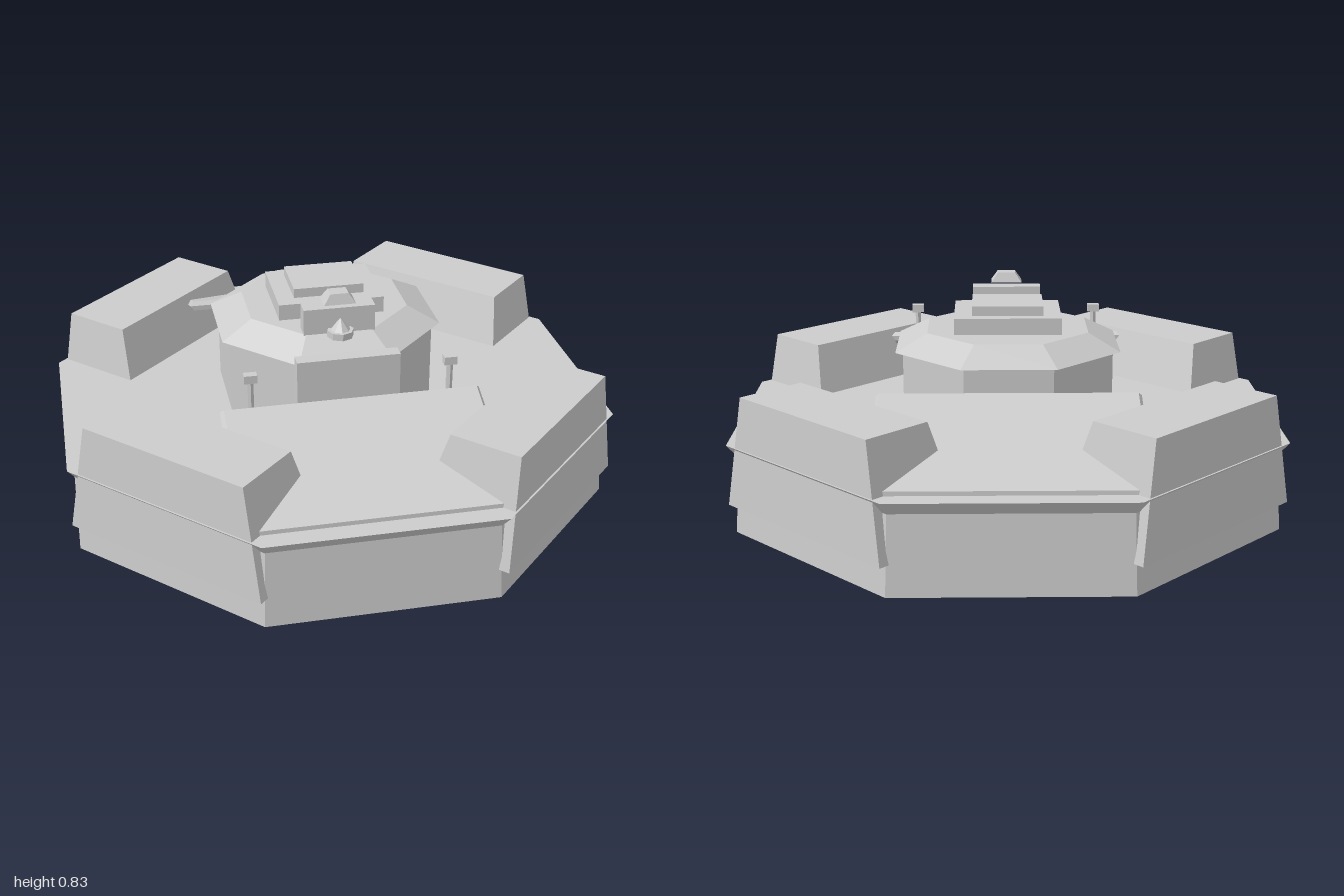
import * as THREE from 'three';

export function createModel() {
  const model = new THREE.Group();
  const grey = new THREE.MeshStandardMaterial({ color: 0xcccccc, side: THREE.DoubleSide });
  grey.name = 'plain grey';

  // Adds a faceted mesh
  function add(name, geometry, parent = model) {
    const flat = geometry.index ? geometry.toNonIndexed() : geometry;
    flat.computeVertexNormals();
    const mesh = new THREE.Mesh(flat, grey);
    mesh.name = name;
    parent.add(mesh);
    return mesh;
  }

  // Octagonal solid or shell from [apothem, y] pairs
  const toCorner = 1 / Math.cos(Math.PI / 8);
  const octagon = (profile) => new THREE.LatheGeometry(
    profile.map(([r, y]) => new THREE.Vector2(r * toCorner, y)), 8, Math.PI / 8);

  // Box whose bottom and top are different rectangles: [xMin, xMax, zMin, zMax]
  function taper(y0, bottom, y1, top) {
    const g = new THREE.BoxGeometry(1, 1, 1);
    const p = g.attributes.position;
    for (let i = 0; i < p.count; i++) {
      const up = p.getY(i) > 0;
      const r = up ? top : bottom;
      p.setXYZ(i, r[p.getX(i) > 0 ? 1 : 0], up ? y1 : y0, r[p.getZ(i) > 0 ? 3 : 2]);
    }
    return g;
  }
  const block = (x0, x1, y0, y1, z0, z1) => taper(y0, [x0, x1, z0, z1], y1, [x0, x1, z0, z1]);

  const towerZ = -0.062;

  // Open-bottomed hull with an overhanging lip
  add('hullWall', octagon([[0.98, 0], [0.96, 0.28], [1, 0.33]]));

  // Deck with an octagonal opening below the tower
  const ring = (apothem, dy) => Array.from({ length: 8 }, (_, i) => {
    const a = Math.PI / 8 + i * Math.PI / 4;
    return new THREE.Vector2(Math.cos(a), Math.sin(a)).multiplyScalar(apothem * toCorner)
      .add(new THREE.Vector2(0, dy));
  });
  const deckShape = new THREE.Shape(ring(1, 0));
  deckShape.holes.push(new THREE.Path(ring(0.38, -towerZ)));
  add('deck', new THREE.ShapeGeometry(deckShape).rotateX(-Math.PI / 2).translate(0, 0.33, 0));

  // Tapered bastions on the four diagonal sides
  for (let i = 0; i < 4; i++) {
    const bastion = add('cornerBastion',
      taper(0.11, [-0.41, 0.41, 0.605, 1.004], 0.52, [-0.336, 0.336, 0.72, 0.984]));
    bastion.rotation.y = Math.PI / 4 + i * Math.PI / 2;
  }

  // Raised sloping plates with bevelled rims, front and back
  for (const [name, turn] of [['frontRamp', 0], ['backRamp', Math.PI]]) {
    const pivot = new THREE.Group();
    pivot.name = name;
    pivot.rotation.y = turn;
    model.add(pivot);
    const g = new THREE.BoxGeometry(0.93, 0.036, 0.53, 1, 2, 1);
    const p = g.attributes.position;
    for (let i = 0; i < p.count; i++) {
      if (Math.abs(p.getY(i)) > 0.01) {
        p.setX(i, Math.sign(p.getX(i)) * 0.452);
        p.setZ(i, Math.sign(p.getZ(i)) * 0.257);
      }
    }
    const plate = add(name + 'Plate', g, pivot);
    plate.rotation.x = 0.368;
    plate.position.set(0, 0.421, 0.684);
  }

  // Tower body with a recessed floor, and its sloping roof
  add('towerBody', octagon([[0, 0.355], [0.379, 0.355], [0.38, 0.33], [0.38, 0.62]]))
    .position.z = towerZ;
  add('towerRoof', octagon([[0, 0.618], [0.407, 0.618], [0.293, 0.68], [0, 0.68]]))
    .position.z = towerZ;

  // Stepped hatch
  add('hatchBase', block(-0.195, 0.195, 0.67, 0.74, -0.215, 0.095));
  add('hatchTop', block(-0.13, 0.13, 0.74, 0.775, -0.17, 0.042));

  // Sight box, its cap and the lamp in front
  add('sightBox', block(-0.13, 0.13, 0.65, 0.776, 0.17, 0.232));
  add('sightCap', taper(0.793, [-0.058, 0.058, 0.165, 0.243], 0.83, [-0.033, 0.033, 0.178, 0.23]));
  add('lampBase', new THREE.CylinderGeometry(0.048, 0.048, 0.025, 8).translate(0, 0.687, 0.248));
  add('lampCone', new THREE.ConeGeometry(0.036, 0.046, 8).translate(0, 0.722, 0.248));

  // Upright shield in front of the tower, passing through the deck
  add('frontShield', block(-0.185, 0.185, 0.22, 0.657, 0.345, 0.397));

  // Pair of small posts with box heads
  for (const x of [-0.355, 0.355]) {
    add('postShaft', new THREE.CylinderGeometry(0.012, 0.012, 0.3, 6).translate(x, 0.475, 0.43));
    add('postHead', block(x - 0.023, x + 0.023, 0.62, 0.65, 0.415, 0.445));
  }

  return model;
}
